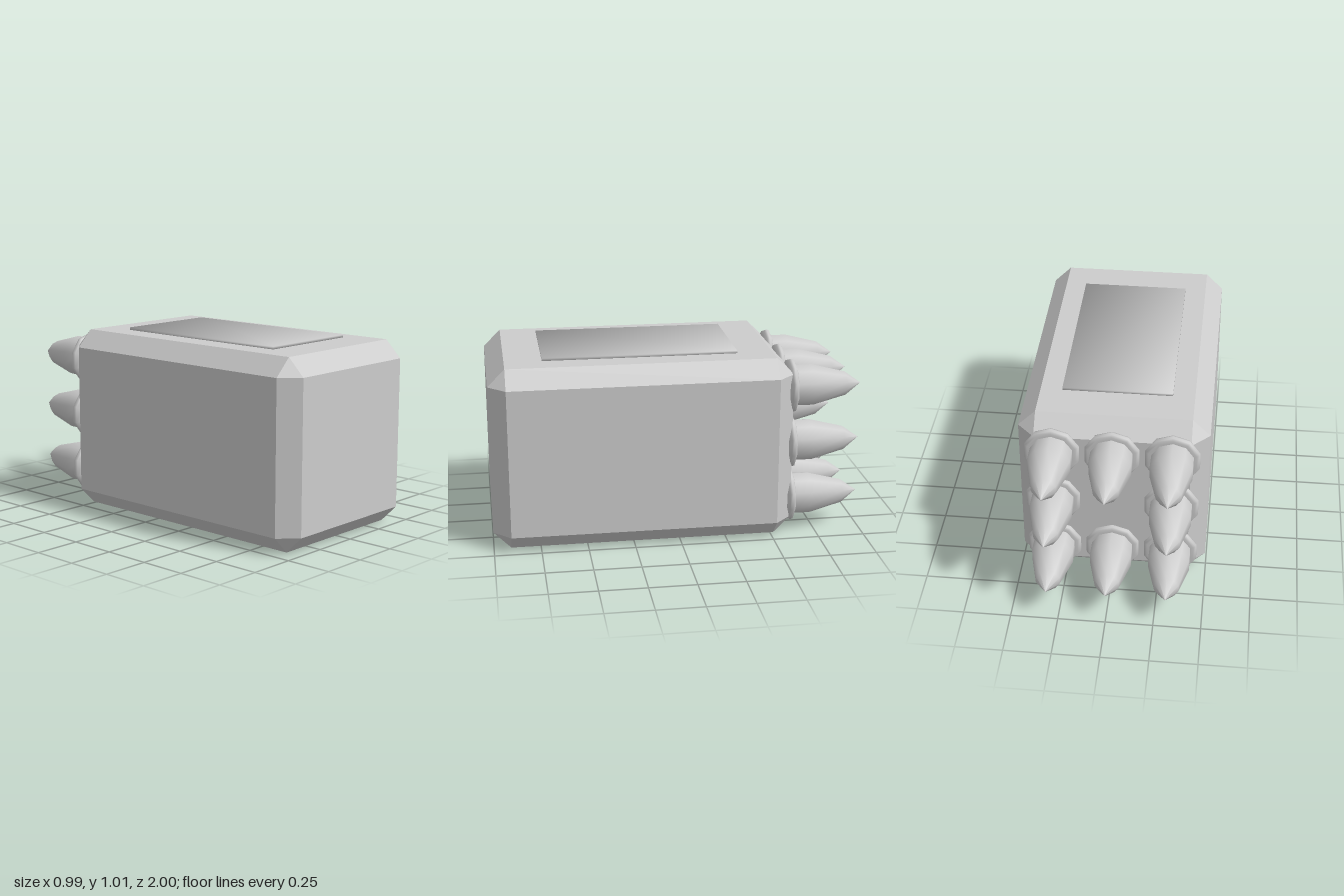
import * as THREE from 'three';
import { ConvexGeometry } from 'three/addons/geometries/ConvexGeometry.js';

const grey = new THREE.MeshStandardMaterial({ color: 0xcccccc });
grey.name = 'light grey';

// Box with every edge and corner cut off at 45 degrees
function chamferedBox(w, h, d, c) {
  const points = [];
  for (const sx of [-1, 1]) for (const sy of [-1, 1]) for (const sz of [-1, 1]) {
    const x = w / 2, y = h / 2, z = d / 2;
    points.push(
      new THREE.Vector3(sx * x, sy * (y - c), sz * (z - c)),
      new THREE.Vector3(sx * (x - c), sy * y, sz * (z - c)),
      new THREE.Vector3(sx * (x - c), sy * (y - c), sz * z),
    );
  }
  return new ConvexGeometry(points);
}

// Ten-sided turned part whose axis points backwards (-z)
function turned(profile) {
  const points = profile.map(([r, a]) => new THREE.Vector2(r, a));
  return new THREE.LatheGeometry(points, 10).rotateX(-Math.PI / 2);
}

// Thin box shaded softly, with normals leaning out at the corners
function softPlate(w, h, d) {
  const geo = new THREE.BoxGeometry(w, h, d);
  const p = geo.attributes.position, n = geo.attributes.normal;
  const v = new THREE.Vector3();
  for (let i = 0; i < p.count; i++) {
    v.set(Math.sign(p.getX(i)), Math.sign(p.getY(i)), Math.sign(p.getZ(i))).normalize();
    n.setXYZ(i, v.x, v.y, v.z);
  }
  return geo;
}

function addMesh(parent, name, geometry, x = 0, y = 0, z = 0) {
  const mesh = new THREE.Mesh(geometry, grey);
  mesh.name = name;
  mesh.position.set(x, y, z);
  parent.add(mesh);
  return mesh;
}

export function createModel() {
  const model = new THREE.Group();
  model.name = 'spikedBlock';

  // Main block and the raised panel on top
  addMesh(model, 'body', chamferedBox(0.99, 0.99, 1.61, 0.092), 0, 0.495, 0.195);
  addMesh(model, 'topPanel', softPlate(0.576, 0.014, 1.035), 0, 1.0, 0.1925);

  // Pointed studs around the border of the back face
  const spikeGeo = turned([[0.113, 0.6], [0.114, 0.725], [0.066, 0.91], [0, 1.0]]);
  const collarGeo = turned([
    [0, 0.585], [0.115, 0.585], [0.144, 0.602], [0.148, 0.615], [0.144, 0.628], [0.13, 0.634], [0.11, 0.634],
  ]);
  for (let row = -1; row <= 1; row++) {
    for (let col = -1; col <= 1; col++) {
      if (row === 0 && col === 0) continue;
      const stud = new THREE.Group();
      stud.name = 'stud';
      stud.position.set(col * 0.31, 0.498 + row * 0.31, 0);
      addMesh(stud, 'spike', spikeGeo);
      addMesh(stud, 'collar', collarGeo);
      model.add(stud);
    }
  }
  return model;
}
